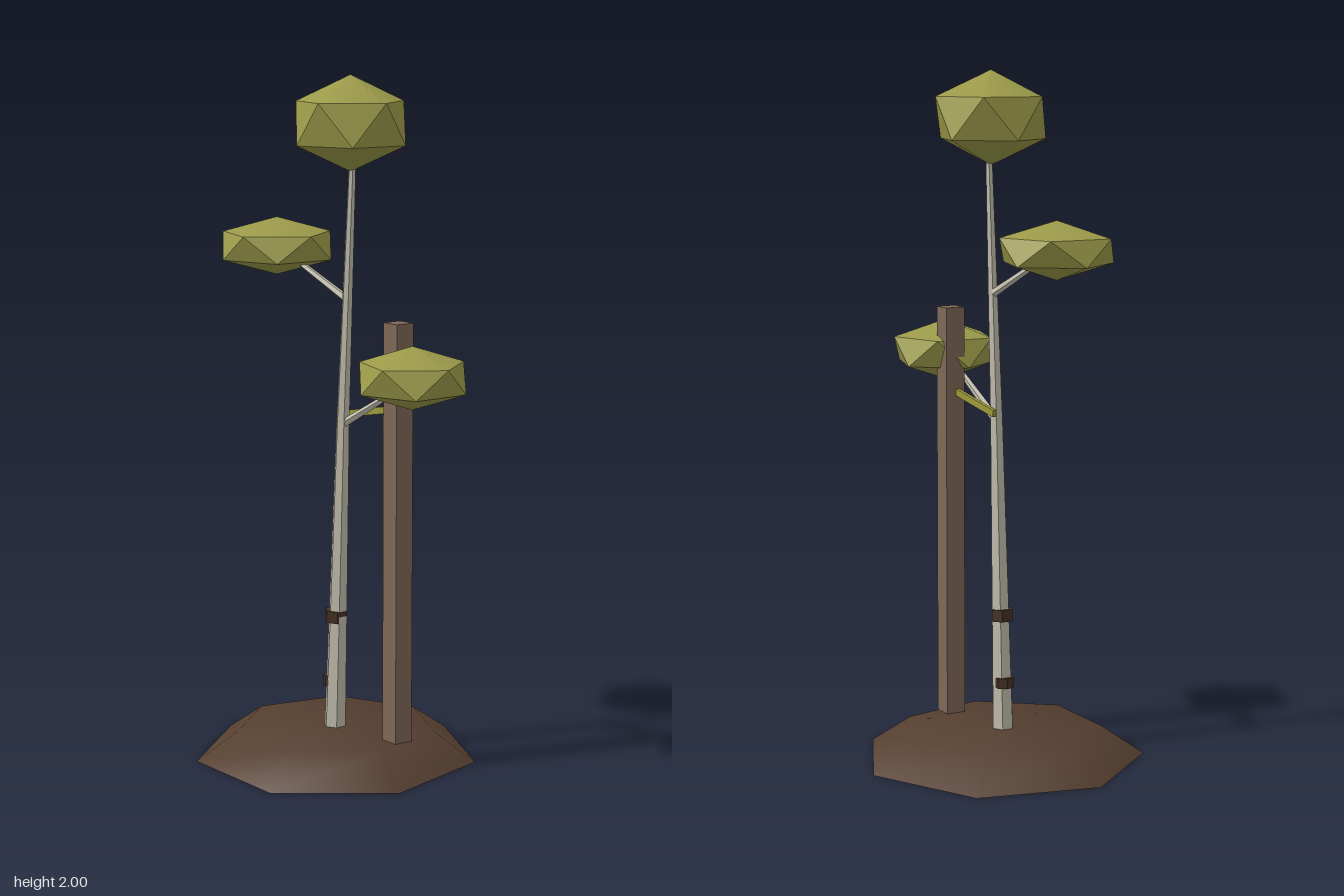
import * as THREE from 'three';
import { toCreasedNormals } from 'three/addons/utils/BufferGeometryUtils.js';

const paint = (name, color) => {
  const m = new THREE.MeshStandardMaterial({ color });
  m.name = name;
  return m;
};

export function createModel() {
  const soil = paint('soil', 0x553f30);
  const bark = paint('pale bark', 0xc2bdad);
  const darkBark = paint('dark bark', 0x453124);
  const wood = paint('post wood', 0x7f6857);
  const leaf = paint('leaf green', 0x9c9b4a);
  const strap = paint('strap', 0x9c9a3a);

  const model = new THREE.Group();
  const up = new THREE.Vector3(0, 1, 0);

  const add = (name, geometry, material, x = 0, y = 0, z = 0) => {
    const mesh = new THREE.Mesh(geometry, material);
    mesh.name = name;
    mesh.position.set(x, y, z);
    model.add(mesh);
    return mesh;
  };

  // Faceted tapered rod between two points
  const rod = (name, a, b, r0, r1, sides, material) => {
    const start = new THREE.Vector3(...a);
    const dir = new THREE.Vector3(...b).sub(start);
    const geo = new THREE.CylinderGeometry(r1, r0, dir.length(), sides);
    const mid = start.clone().addScaledVector(dir, 0.5);
    const mesh = add(name, toCreasedNormals(geo, 0.6), material, mid.x, mid.y, mid.z);
    mesh.quaternion.setFromUnitVectors(up, dir.normalize());
  };

  // Seven-sided soil mound with a soft upper rim
  const mound = new THREE.CylinderGeometry(0.295, 0.42, 0.085, 7).rotateY(Math.PI);
  add('soilMound', toCreasedNormals(mound, 0.8), soil, -0.045, 0.0425, 0.02);

  // Slightly bent trunk
  rod('lowerTrunk', [-0.047, 0.03, 0.025], [-0.01, 1, 0.022], 0.034, 0.02, 6, bark);
  rod('upperTrunk', [-0.01, 1, 0.022], [0.035, 1.8, 0.02], 0.02, 0.01, 6, bark);

  // Dark bark marks
  rod('upperBarkBand', [-0.038, 0.405, 0.027], [-0.036, 0.44, 0.027], 0.034, 0.034, 6, darkBark);
  rod('lowerBarkBand', [-0.051, 0.208, 0.026], [-0.05, 0.238, 0.026], 0.031, 0.031, 7, darkBark);

  // Branches
  rod('rightBranch', [0, 1.365, 0.02], [-0.19, 1.48, 0.08], 0.012, 0.008, 5, bark);
  rod('leftBranch', [-0.005, 1.0, 0.02], [0.24, 1.13, 0.02], 0.013, 0.008, 5, bark);

  // Support post and the strap that ties the trunk to it
  add('supportPost', new THREE.BoxGeometry(0.06, 1.27, 0.06), wood, 0.185, 0.675, -0.025);
  const tie = add('tieStrap', new THREE.BoxGeometry(0.21, 0.02, 0.012), strap, 0.06, 1.04, -0.01);
  tie.rotation.set(0, 0.07, 0.19);

  // Squashed twenty-sided leaf clumps: centre, width radius, height radius
  const clumps = [
    ['topFoliage', 0.03, 1.865, 0.025, 0.18, 0.136],
    ['rightFoliage', -0.235, 1.502, 0.09, 0.184, 0.084],
    ['leftFoliage', 0.297, 1.17, 0.015, 0.172, 0.09],
  ];
  for (const [name, x, y, z, r, h] of clumps) {
    const geo = new THREE.IcosahedronGeometry(1, 0)
      .rotateZ(-Math.atan(2 / (1 + Math.sqrt(5)))) // one corner straight up
      .scale(r, h, r);
    add(name, toCreasedNormals(geo, 0.7), leaf, x, y, z);
  }

  return model;
}
